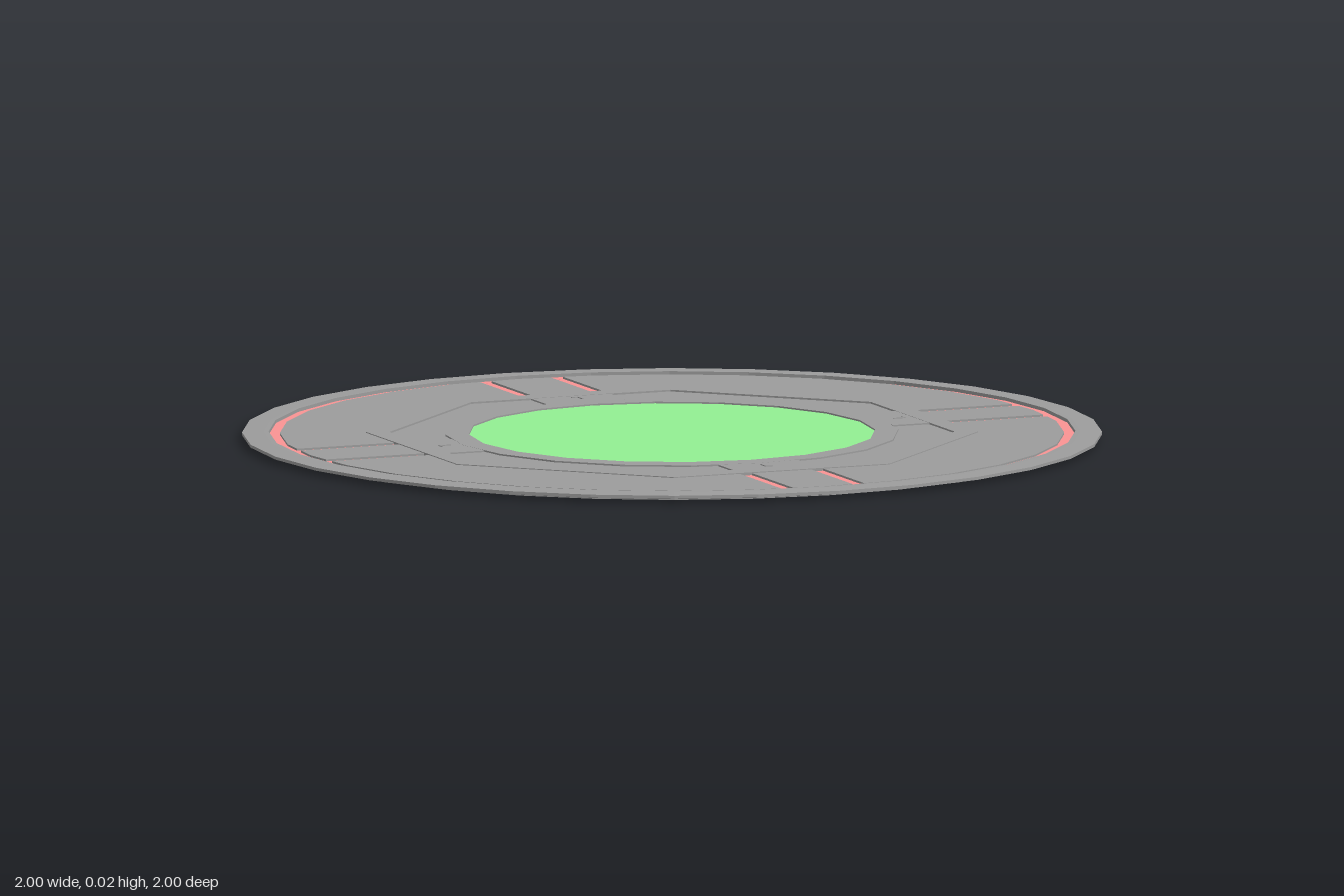
import * as THREE from 'three';

const grey = new THREE.MeshStandardMaterial({ color: 0x9c9c9c, flatShading: true });
const red = new THREE.MeshStandardMaterial({ color: 0xfa9494, flatShading: true });
const green = new THREE.MeshStandardMaterial({ color: 0x93f093, flatShading: true, side: THREE.DoubleSide });

const OCTAGON = Math.cos(Math.PI / 8); // flat half width over corner radius

export function createModel() {
  const model = new THREE.Group();
  const add = (name, geometry, material = grey) => {
    const mesh = new THREE.Mesh(geometry, material);
    mesh.name = name;
    model.add(mesh);
    return mesh;
  };

  // Many-sided ring with a rectangular section
  const ring = (name, inner, outer, y0, y1, sides, material, turn = 0) => {
    const section = [[inner, y0], [outer, y0], [outer, y1], [inner, y1], [inner, y0]];
    const points = section.map(([r, y]) => new THREE.Vector2(r, y));
    return add(name, new THREE.LatheGeometry(points, sides, turn), material);
  };

  // Octagonal ring with flats facing the axes, sized by its half widths
  const octagonRing = (name, inner, outer, y0, y1) =>
    ring(name, inner / OCTAGON, outer / OCTAGON, y0, y1, 8, grey, Math.PI / 8);

  // Horizontal slab from an outline, turned about the centre
  const slab = (name, outline, y0, y1, turn) => {
    const shape = new THREE.Shape(outline.map(([x, y]) => new THREE.Vector2(x, y)));
    const geometry = new THREE.ExtrudeGeometry(shape, { depth: y1 - y0, bevelEnabled: false });
    geometry.rotateX(-Math.PI / 2).translate(0, y0, 0);
    add(name, geometry).rotation.y = turn;
  };

  // Radial bar between two distances from the centre
  const bar = (name, x0, x1, z0, z1, y0, y1, turn, material) => {
    const geometry = new THREE.BoxGeometry(x1 - x0, y1 - y0, z1 - z0);
    geometry.translate((x0 + x1) / 2, (y0 + y1) / 2, (z0 + z1) / 2);
    add(name, geometry, material).rotation.y = turn;
  };

  // Sloped outer rim
  const profile = [[0.938, 0.002], [0.945, 0.002], [0.952, 0.009], [1, 0.011], [1, 0.018], [0.95, 0.02], [0.938, 0.02], [0.938, 0.002]];
  add('outerRim', new THREE.LatheGeometry(profile.map(([x, y]) => new THREE.Vector2(x, y)), 32));

  // Circular channel: tray below, red floor inside
  ring('ringTray', 0.902, 0.945, 0, 0.005, 32, grey);
  ring('ringStripe', 0.908, 0.94, 0.005, 0.012, 32, red);

  // Deck quarter between two spoke pairs, following the round edge
  const arc = Array.from({ length: 7 }, (_, i) => {
    const a = ((i + 1) * Math.PI) / 16;
    return [0.912 * Math.cos(a), 0.912 * Math.sin(a)];
  });
  const quarter = [
    [0.655, 0.105], [0.902, 0.105], ...arc, [0.105, 0.902],
    [0.105, 0.655], [0.271, 0.655], [0.655, 0.271],
  ];
  const middle = [[0.655, -0.075], [0.9046, -0.075], [0.912, 0], [0.9046, 0.075], [0.655, 0.075]];

  for (let i = 0; i < 4; i++) {
    const turn = (i * Math.PI) / 2;
    slab('deckQuarter', quarter, 0.003, 0.0165, turn);
    slab('deckMiddle', middle, 0.003, 0.0165, turn);
    // Pair of spoke channels
    for (const c of [-0.09, 0.09]) {
      bar('spokeTray', 0.655, 0.91, c - 0.02, c + 0.02, 0, 0.005, turn);
      bar('spokeStripe', 0.655, 0.912, c - 0.016, c + 0.016, 0.005, 0.0118, turn, red);
    }
    // Bridge leading inward, with a small hook-shaped latch
    bar('bridge', 0.515, 0.64, -0.1, 0.1, 0.01, 0.0179, turn);
    bar('latchBar', 0.555, 0.585, 0.006, 0.01, 0.0175, 0.02, turn);
    bar('latchTip', 0.581, 0.585, -0.008, 0.006, 0.0175, 0.02, turn);
  }

  // Stepped octagonal centre around the round opening
  octagonRing('octagonFrame', 0.607, 0.657, 0.009, 0.0185);
  octagonRing('innerFloor', 0.478, 0.61, 0.01, 0.0145);
  ring('innerRing', 0.474, 0.528, 0.008, 0.0182, 20, grey);

  // Thin green centre panel
  const panel = new THREE.CircleGeometry(0.478, 20);
  panel.rotateX(-Math.PI / 2).translate(0, 0.0145, 0);
  add('centrePanel', panel, green);

  return model;
}
